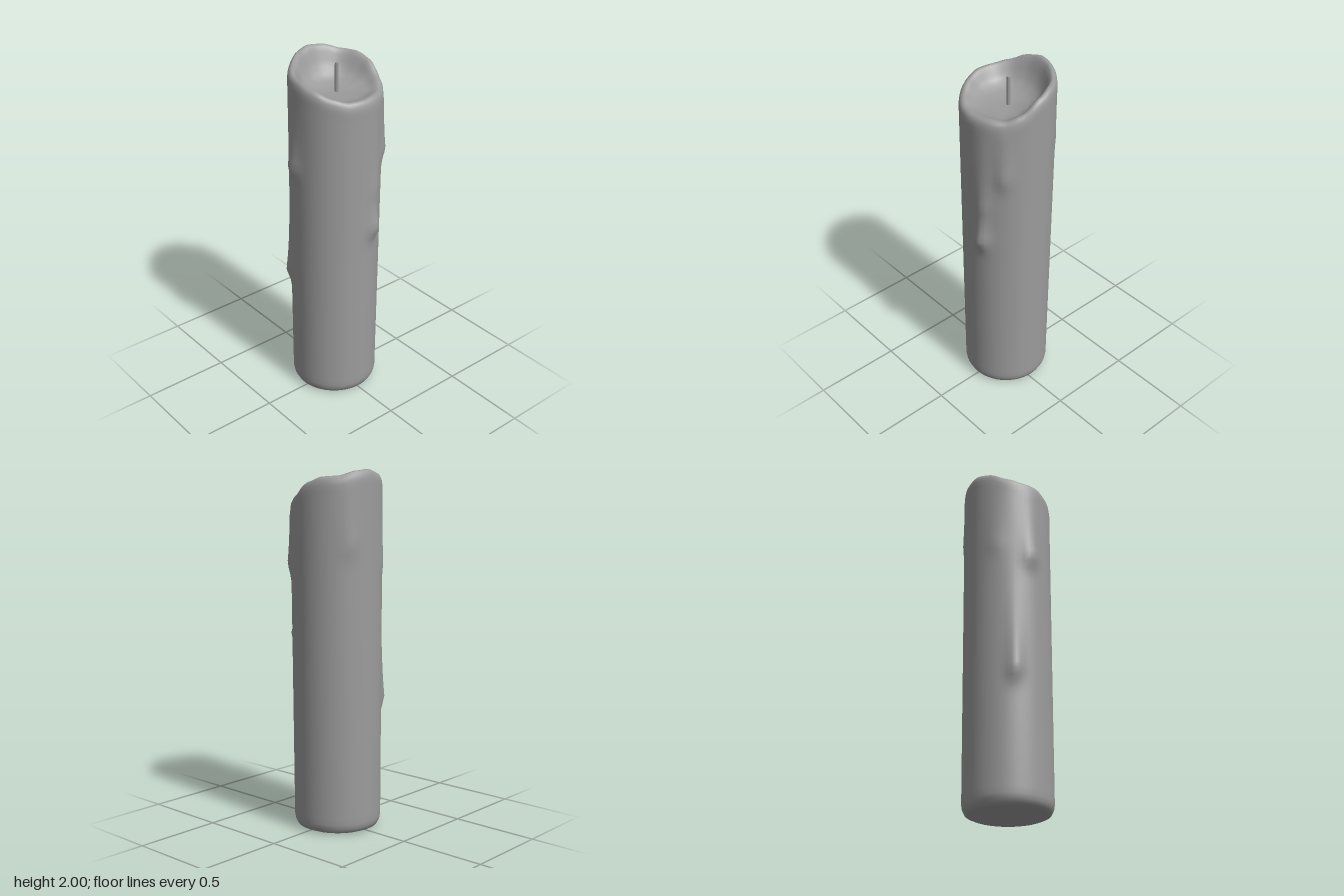
import * as THREE from 'three';

// Rim height every 22.5 degrees, from the front (+z) round towards +x
const RIM = [1.83, 1.835, 1.83, 1.865, 1.93, 1.96, 1.965, 1.99, 2.0, 1.98, 1.94, 1.92, 1.915, 1.89, 1.855, 1.83];

// Wax runs: angle, height of the bead, length above it, bulge, angular width
const DRIPS = [
  [16, 1.08, 0.25, 0.04, 9],
  [18, 1.31, 0.4, 0.012, 9],
  [45, 1.5, 0.35, 0.02, 9],
  [258, 1.43, 0.36, 0.028, 11],
  [235, 0.74, 0.42, 0.03, 9],
  [150, 1.6, 0.35, 0.01, 11],
  [210, 1.5, 0.35, 0.008, 11],
];

const SIDES = 64;
const ROWS = 48;
const FLOOR = 1.805;

// Periodic interpolation of the rim table
function rimHeight(deg) {
  const t = deg / 22.5;
  const i = Math.floor(t);
  const f = t - i;
  const s = f * f * (3 - 2 * f) * 0.5 + f * 0.5;
  return THREE.MathUtils.lerp(RIM[i % 16], RIM[(i + 1) % 16], s);
}

// Extra radius from the wax runs: short below the bead, long taper above it
function dripBulge(deg, y) {
  let sum = 0;
  for (const [angle, bead, length, bulge, width] of DRIPS) {
    const da = ((deg - angle + 540) % 360) - 180;
    const dy = y - bead;
    const along = dy < 0 ? Math.exp(-((dy / 0.065) ** 2)) : Math.exp((-dy / length) * 2);
    sum += bulge * along * Math.exp(-((da / width) ** 2));
  }
  return sum;
}

// One point of the wax surface, on an axis that leans slightly towards +x
function waxPoint(deg, r, y) {
  const a = THREE.MathUtils.degToRad(deg);
  return [0.012 * (y / 2) + r * Math.sin(a), y, -0.014 + r * Math.cos(a)];
}

function waxGeometry() {
  // Each ring is a function of angle giving [radius, height]
  const rings = [];
  const base = [[0.17, 0], [0.205, 0.002], [0.228, 0.012], [0.24, 0.035]];
  base.forEach(([r, y]) => rings.push(() => [r, y]));
  for (let i = 0; i <= ROWS; i++) {
    rings.push((deg) => {
      const y = 0.06 + (i / ROWS) * (rimHeight(deg) - 0.14);
      return [0.244 + 0.004 * y + dripBulge(deg, y), y];
    });
  }
  // Thick rounded lip
  for (const [r, drop] of [[0.252, 0.05], [0.249, 0.024], [0.24, 0.006], [0.226, 0]]) {
    rings.push((deg) => [r, rimHeight(deg) - drop]);
  }
  // Hollow around the wick, as a share of the height from floor to rim
  for (const [r, k] of [[0.214, 0.94], [0.202, 0.8], [0.19, 0.61], [0.174, 0.4], [0.15, 0.22], [0.11, 0.09], [0.055, 0.02]]) {
    rings.push((deg) => [r, FLOOR + k * (rimHeight(deg) - FLOOR)]);
  }

  const pos = [];
  const idx = [];
  for (const ring of rings) {
    for (let s = 0; s < SIDES; s++) {
      const deg = (s / SIDES) * 360;
      pos.push(...waxPoint(deg, ...ring(deg)));
    }
  }
  const bottom = pos.length / 3;
  pos.push(...waxPoint(0, 0, 0), ...waxPoint(0, 0, FLOOR));
  const last = (rings.length - 1) * SIDES;
  for (let s = 0; s < SIDES; s++) {
    const n = (s + 1) % SIDES;
    for (let r = 0; r < rings.length - 1; r++) {
      const a = r * SIDES + s, b = r * SIDES + n;
      idx.push(a, b, b + SIDES, a, b + SIDES, a + SIDES);
    }
    idx.push(bottom, n, s, bottom + 1, last + s, last + n);
  }
  const geo = new THREE.BufferGeometry();
  geo.setAttribute('position', new THREE.Float32BufferAttribute(pos, 3));
  geo.setIndex(idx);
  geo.computeVertexNormals();
  return geo;
}

export function createModel() {
  const group = new THREE.Group();
  group.name = 'candle';
  const material = new THREE.MeshStandardMaterial({ color: 0x9c9c9c });

  // Wax pillar with drips and a melted hollow
  const wax = new THREE.Mesh(waxGeometry(), material);
  wax.name = 'wax';
  group.add(wax);

  // Wick
  const wick = new THREE.Mesh(new THREE.CylinderGeometry(0.01, 0.011, 0.18, 6), material);
  wick.name = 'wick';
  wick.position.set(0.018, 1.875, -0.013);
  group.add(wick);

  return group;
}
